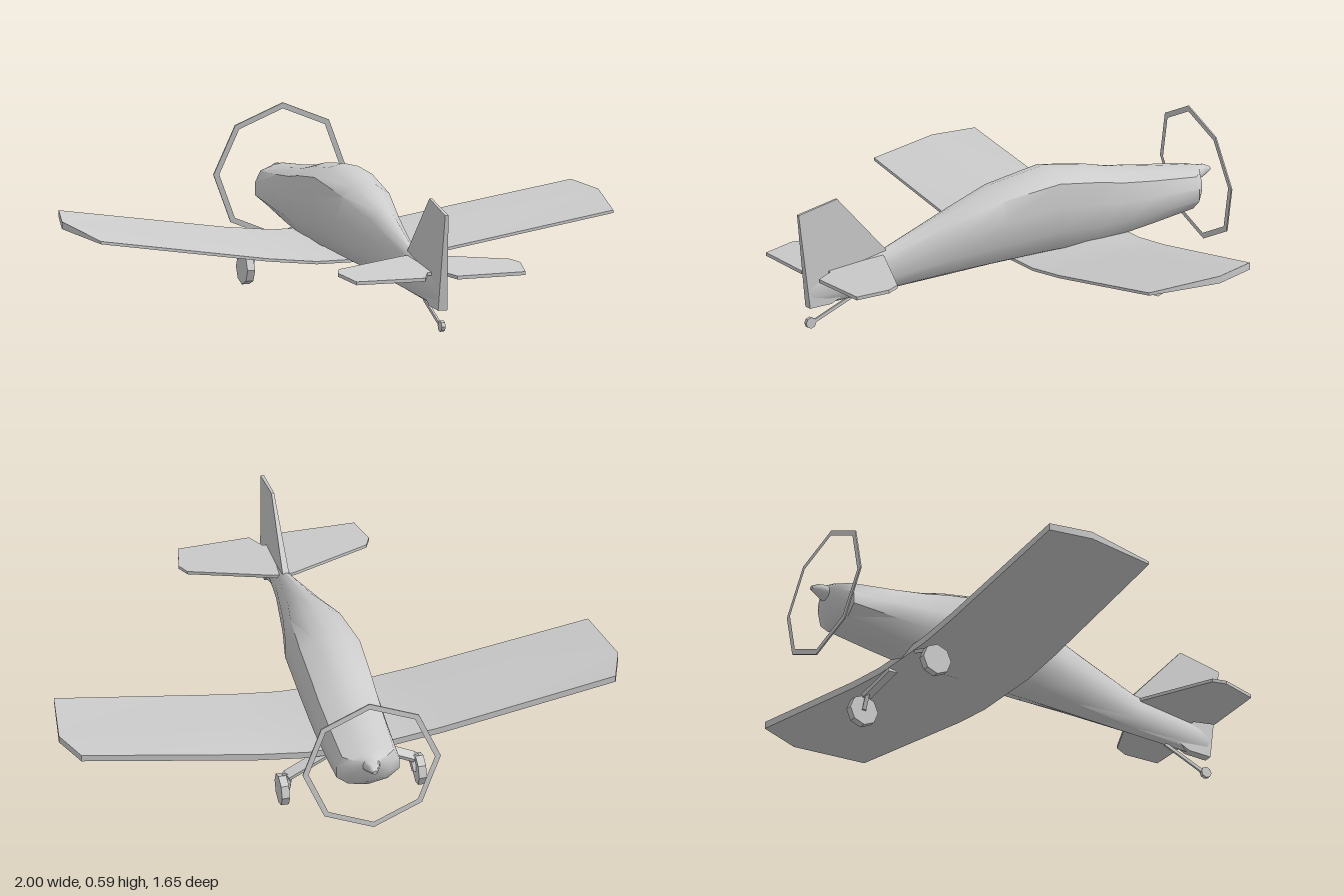
import * as THREE from 'three';
import { toCreasedNormals } from 'three/addons/utils/BufferGeometryUtils.js';

const material = new THREE.MeshStandardMaterial({ color: 0xcccccc });

// Skin a row of closed cross-sections and cap both ends
function loft(rings, crease) {
  const n = rings[0].length, index = [], last = (rings.length - 1) * n;
  for (let i = 0; i < rings.length - 1; i++) {
    for (let j = 0; j < n; j++) {
      const a = i * n + j, b = i * n + (j + 1) % n;
      index.push(a, b, a + n, b, b + n, a + n);
    }
  }
  for (let j = 1; j < n - 1; j++) {
    index.push(0, j + 1, j, last, last + j, last + j + 1);
  }
  const g = new THREE.BufferGeometry();
  g.setAttribute('position', new THREE.Float32BufferAttribute(rings.flat(2), 3));
  g.setIndex(index);
  return toCreasedNormals(g, crease);
}

function add(parent, name, geometry) {
  const mesh = new THREE.Mesh(geometry, material);
  mesh.name = name;
  parent.add(mesh);
  return mesh;
}

// Straight bar between two points
function bar(parent, name, from, to, width, depth) {
  const a = new THREE.Vector3(...from), b = new THREE.Vector3(...to);
  const mesh = add(parent, name, new THREE.BoxGeometry(width, a.distanceTo(b), depth));
  mesh.position.copy(a).add(b).multiplyScalar(0.5);
  mesh.quaternion.setFromUnitVectors(new THREE.Vector3(0, 1, 0), b.sub(a).normalize());
  return mesh;
}

function wheel(parent, name, x, y, z, radius, width) {
  const mesh = add(parent, name, toCreasedNormals(
    new THREE.CylinderGeometry(radius, radius, width, 8).rotateZ(Math.PI / 2), 0.3));
  mesh.position.set(x, y, z);
  return mesh;
}

function fuselageGeometry() {
  // z, bottom, top, half width, shoulder fullness
  const stations = [
    [-0.825, 0.34, 0.354, 0.008, 0.8], [-0.8, 0.326, 0.366, 0.02, 0.8],
    [-0.77, 0.312, 0.367, 0.03, 0.8], [-0.752, 0.255, 0.373, 0.075, 0.8],
    [-0.72, 0.22, 0.376, 0.113, 0.82], [-0.55, 0.185, 0.396, 0.117, 0.85],
    [-0.42, 0.16, 0.415, 0.118, 0.88], [-0.33, 0.145, 0.436, 0.117, 0.9],
    [-0.165, 0.14, 0.458, 0.117, 0.92], [0.05, 0.13, 0.418, 0.108, 0.82],
    [0.23, 0.117, 0.352, 0.073, 0.75], [0.48, 0.1, 0.25, 0.035, 0.7],
    [0.785, 0.08, 0.19, 0.015, 0.7],
  ];
  return loft(stations.map(([z, lo, hi, w, s]) => {
    const half = [[s * 0.5, 0.96], [s, 0.86], [1, 0.6], [1, 0.32], [0.62, 0.09]];
    const at = (x, t) => [x * w, lo + t * (hi - lo), z];
    return [at(0, 1), ...half.map(([x, t]) => at(-x, t)), at(0, 0),
      ...half.reverse().map(([x, t]) => at(x, t))];
  }), 0.75);
}

function wingGeometry() {
  // span, rise, leading edge z, extra span at mid chord
  const right = [[0.15, 0, -0.457, 0], [0.33, 0.02, -0.453, 0], [0.955, 0.117, -0.436, 0.045]];
  const stations = [...right.map(([x, ...r]) => [-x, ...r]).reverse(), ...right];
  return loft(stations.map(([x, rise, front, extra]) => {
    const mid = x + Math.sign(x) * extra, zm = -0.29;
    return [
      [mid, 0.183 + rise - extra * 0.2, zm], [x, 0.14 + rise, -0.032],
      [x, 0.13 + rise, -0.032], [mid, 0.148 + rise, zm],
      [x, 0.165 + rise, front], [x, 0.19 + rise, front],
    ];
  }), 0.5);
}

function plate(points, depth) {
  const shape = new THREE.Shape(points.map(p => new THREE.Vector2(...p)));
  return new THREE.ExtrudeGeometry(shape, { depth, bevelEnabled: false }).translate(0, 0, -depth / 2);
}

export function createModel() {
  const model = new THREE.Group();
  model.name = 'airplane';

  add(model, 'fuselage', fuselageGeometry());
  add(model, 'wing', wingGeometry());

  // Fin and rudder, thinner toward the top
  const fin = plate([[0.47, 0.2], [0.48, 0.25], [0.67, 0.457], [0.825, 0.42], [0.785, 0.08], [0.7, 0.085]], 0.034)
    .rotateY(-Math.PI / 2);
  const p = fin.attributes.position;
  for (let i = 0; i < p.count; i++) p.setX(i, p.getX(i) * (1 - 1.9 * (p.getY(i) - 0.08)));
  fin.computeVertexNormals();
  add(model, 'fin', fin);

  // Tailplane halves, tilted nose up
  const half = [[0, 0.49], [0.04, 0.5], [0.32, 0.61], [0.34, 0.655], [0.315, 0.77], [0.06, 0.775], [0.027, 0.71], [0, 0.71]];
  for (const side of [1, -1]) {
    const g = plate(half.map(([x, z]) => [x * side, z]), 0.012).rotateX(Math.PI / 2);
    const q = g.attributes.position;
    for (let i = 0; i < q.count; i++) q.setY(i, q.getY(i) + 0.19 + (0.775 - q.getZ(i)) * 0.13);
    g.computeVertexNormals();
    add(model, side > 0 ? 'leftTailplane' : 'rightTailplane', g);
  }

  // Propeller disc outline
  const octagon = r => Array.from({ length: 8 }, (_, i) =>
    new THREE.Vector2(Math.sin(i * Math.PI / 4) * r, Math.cos(i * Math.PI / 4) * r));
  const disc = new THREE.Shape(octagon(0.247));
  disc.holes.push(new THREE.Path(octagon(0.226)));
  const ring = add(model, 'propellerRing', new THREE.ExtrudeGeometry(disc, { depth: 0.005, bevelEnabled: false }));
  ring.position.set(0, 0.341, -0.775);
  ring.rotation.x = 0.127;

  // Main landing gear
  for (const side of [1, -1]) {
    const gear = new THREE.Group();
    gear.name = side > 0 ? 'leftGear' : 'rightGear';
    bar(gear, 'leg', [side * 0.09, 0.16, -0.44], [side * 0.228, 0.108, -0.465], 0.014, 0.04);
    bar(gear, 'axleStrut', [side * 0.224, 0.115, -0.462], [side * 0.236, 0.055, -0.47], 0.014, 0.035);
    wheel(gear, 'wheel', side * 0.245, 0.057, -0.47, 0.056, 0.028);
    model.add(gear);
  }

  // Tail wheel
  bar(model, 'tailStrut', [0, 0.095, 0.61], [0, 0.025, 0.765], 0.008, 0.012);
  wheel(model, 'tailWheel', 0, 0.024, 0.775, 0.02, 0.014);

  return model;
}
